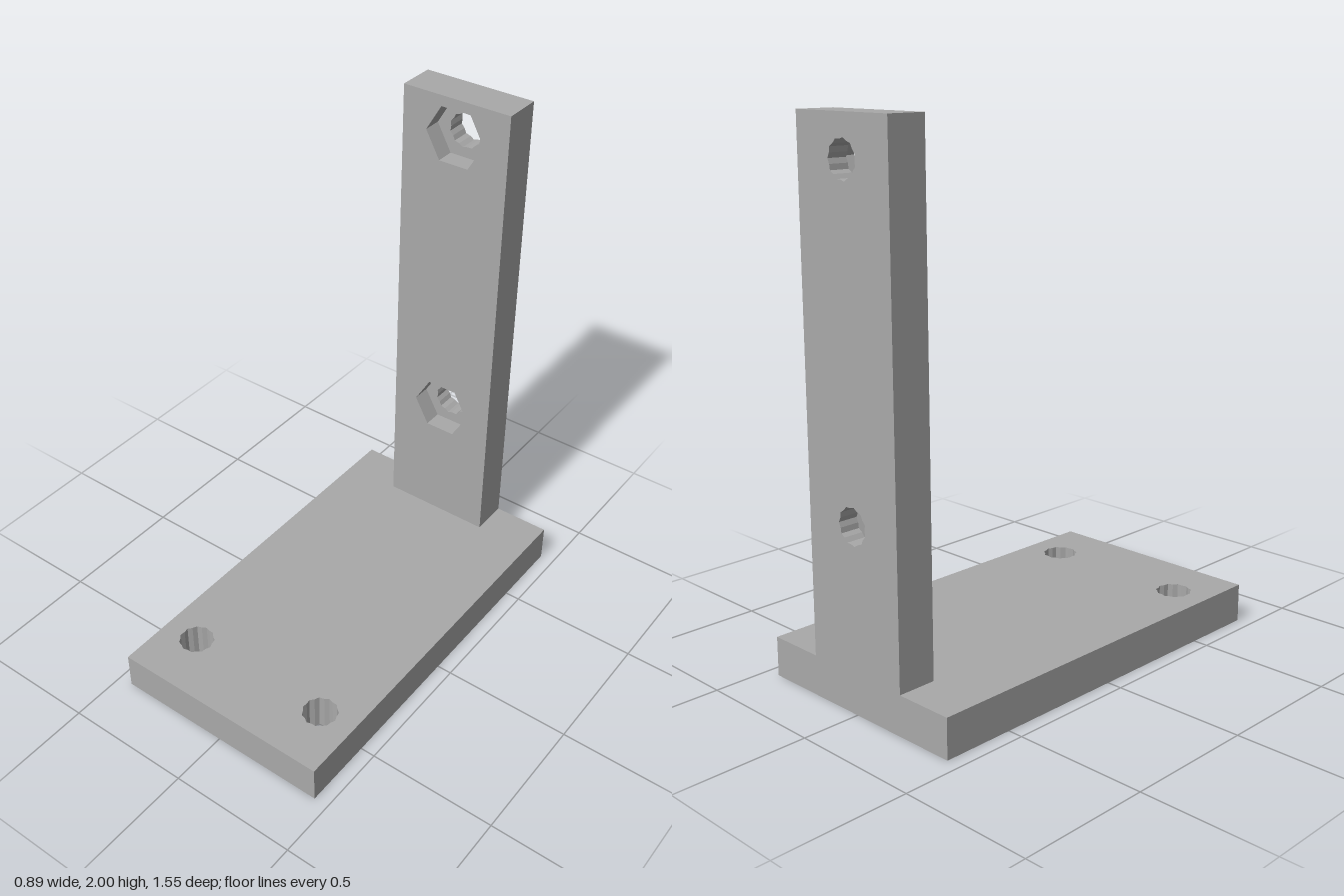
import * as THREE from 'three';

const T = 0.148;        // plate thickness
const BACK = -0.777;    // rear face
const BOLT_R = 0.068;   // bolt hole radius
const NUT_R = 0.12;     // nut pocket corner radius
const NUT_DEPTH = 0.074;

// Closed loop of n points around (cx, cy), radius given per index
function ring(cx, cy, n, radius, start = 0) {
  const pts = [];
  for (let i = 0; i < n; i++) {
    const a = start + (i / n) * Math.PI * 2;
    pts.push(new THREE.Vector2(cx + Math.cos(a) * radius(i), cy + Math.sin(a) * radius(i)));
  }
  return new THREE.Path(pts);
}

// Slightly scalloped bolt hole and hexagonal nut pocket
const boltHole = (x, y) => ring(x, y, 22, i => (i % 2 ? BOLT_R * 0.92 : BOLT_R), Math.PI / 2 + Math.PI / 22);
const nutPocket = (x, y) => ring(x, y, 6, () => NUT_R);

// Rectangular plate with holes, extruded along z
function plate(x0, y0, x1, y1, depth, holes) {
  const shape = new THREE.Shape([
    new THREE.Vector2(x0, y0), new THREE.Vector2(x1, y0),
    new THREE.Vector2(x1, y1), new THREE.Vector2(x0, y1),
  ]);
  shape.holes.push(...holes);
  return new THREE.ExtrudeGeometry(shape, { depth, bevelEnabled: false });
}

export function createModel() {
  const model = new THREE.Group();
  model.name = 'mountingBracket';
  const grey = new THREE.MeshStandardMaterial({ color: 0xa9a9a9 });
  grey.name = 'grey';

  const add = (name, geometry) => {
    const mesh = new THREE.Mesh(geometry, grey);
    mesh.name = name;
    model.add(mesh);
  };

  // Base plate with two bolt holes near the front edge
  const base = plate(-0.443, BACK, 0.443, -BACK, T, [-1, 1].map(s => boltHole(s * 0.297, -0.553)));
  base.rotateX(-Math.PI / 2);
  add('basePlate', base);

  // Upright: rear layer has bolt holes, front layer has nut pockets
  const heights = [0.67, 1.855];
  const rear = plate(-0.22, T, 0.22, 2, T - NUT_DEPTH, heights.map(y => boltHole(0, y)));
  rear.translate(0, 0, BACK);
  add('uprightRear', rear);

  const front = plate(-0.22, T, 0.22, 2, NUT_DEPTH, heights.map(y => nutPocket(0, y)));
  front.translate(0, 0, BACK + T - NUT_DEPTH);
  add('uprightFront', front);

  return model;
}
